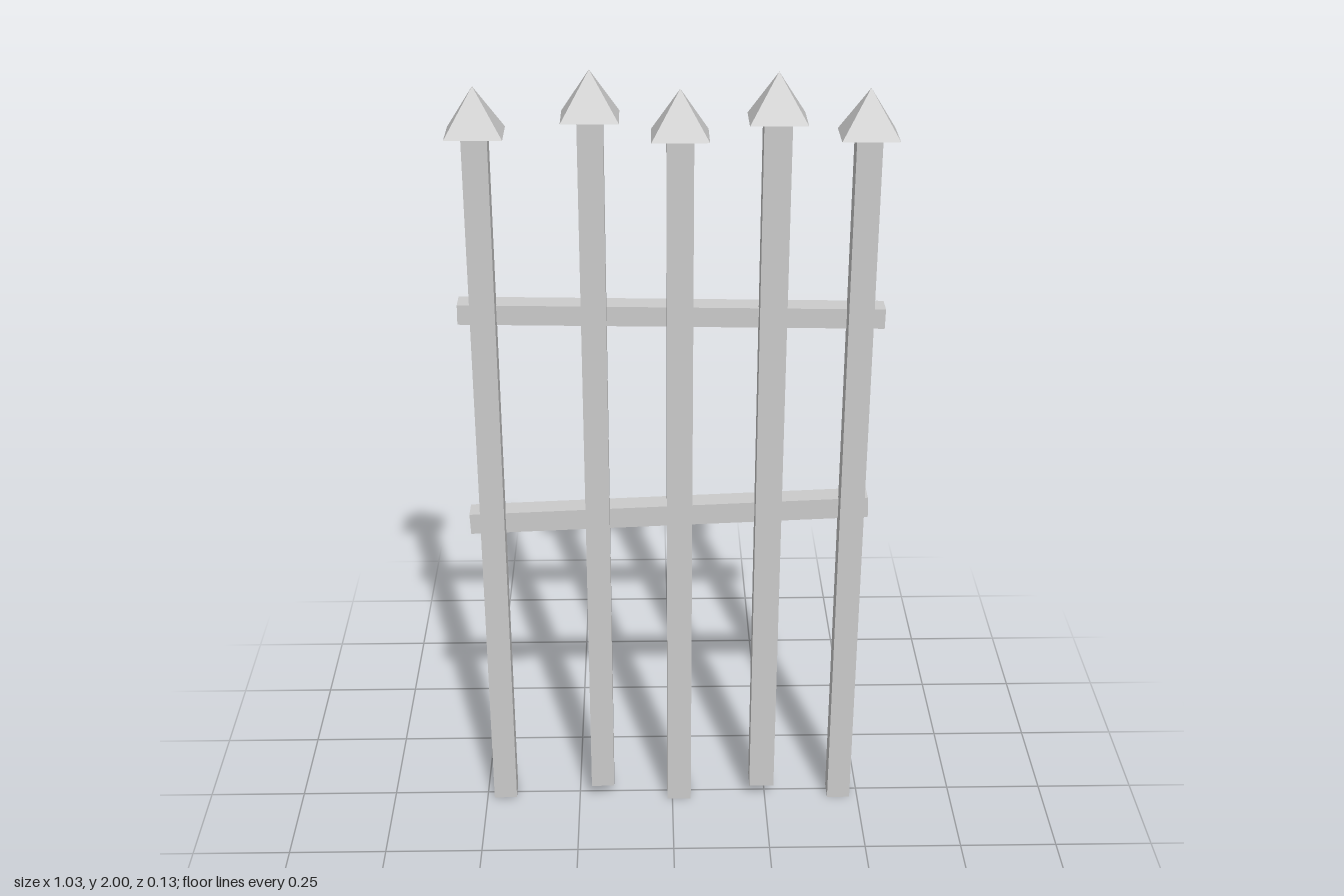
import * as THREE from 'three';

const material = new THREE.MeshStandardMaterial({ color: 0xcccccc, flatShading: true });

function addMesh(parent, name, geometry, x, y, z) {
  const mesh = new THREE.Mesh(geometry, material);
  mesh.name = name;
  mesh.position.set(x, y, z);
  parent.add(mesh);
  return mesh;
}

export function createModel() {
  const model = new THREE.Group();
  model.name = 'fencePanel';

  // Uneven posts: x, bottom, cap base, width
  const posts = [
    [-0.45, 0.01, 1.853, 0.06],
    [-0.187, 0.045, 1.89, 0.06],
    [0.018, 0, 1.845, 0.063],
    [0.24, 0.04, 1.883, 0.065],
    [0.449, 0, 1.845, 0.06],
  ];
  const postZ = 0.01, capHeight = 0.11;

  // Four-sided pyramid cap, wider than deep
  const capGeometry = new THREE.ConeGeometry(Math.SQRT1_2, capHeight, 4)
    .rotateY(Math.PI / 4)
    .scale(0.133, 1, 0.109);

  posts.forEach(([x, bottom, top, width], i) => {
    const post = new THREE.Group();
    post.name = `post${i + 1}`;
    addMesh(post, 'postShaft', new THREE.BoxGeometry(width, top - bottom, 0.056), x, (bottom + top) / 2, postZ);
    addMesh(post, 'postCap', capGeometry, x, top + capHeight / 2, postZ);
    model.add(post);
  });

  // Slightly tilted rails behind the posts: left end, right end, thickness
  const rails = [
    ['upperRail', [-0.514, 1.4], [0.512, 1.382], 0.05],
    ['lowerRail', [-0.51, 0.828], [0.494, 0.868], 0.055],
  ];
  for (const [name, [x0, y0], [x1, y1], height] of rails) {
    const length = Math.hypot(x1 - x0, y1 - y0);
    const rail = addMesh(model, name, new THREE.BoxGeometry(length, height, 0.055), (x0 + x1) / 2, (y0 + y1) / 2, -0.036);
    rail.rotation.z = Math.atan2(y1 - y0, x1 - x0);
  }

  return model;
}
